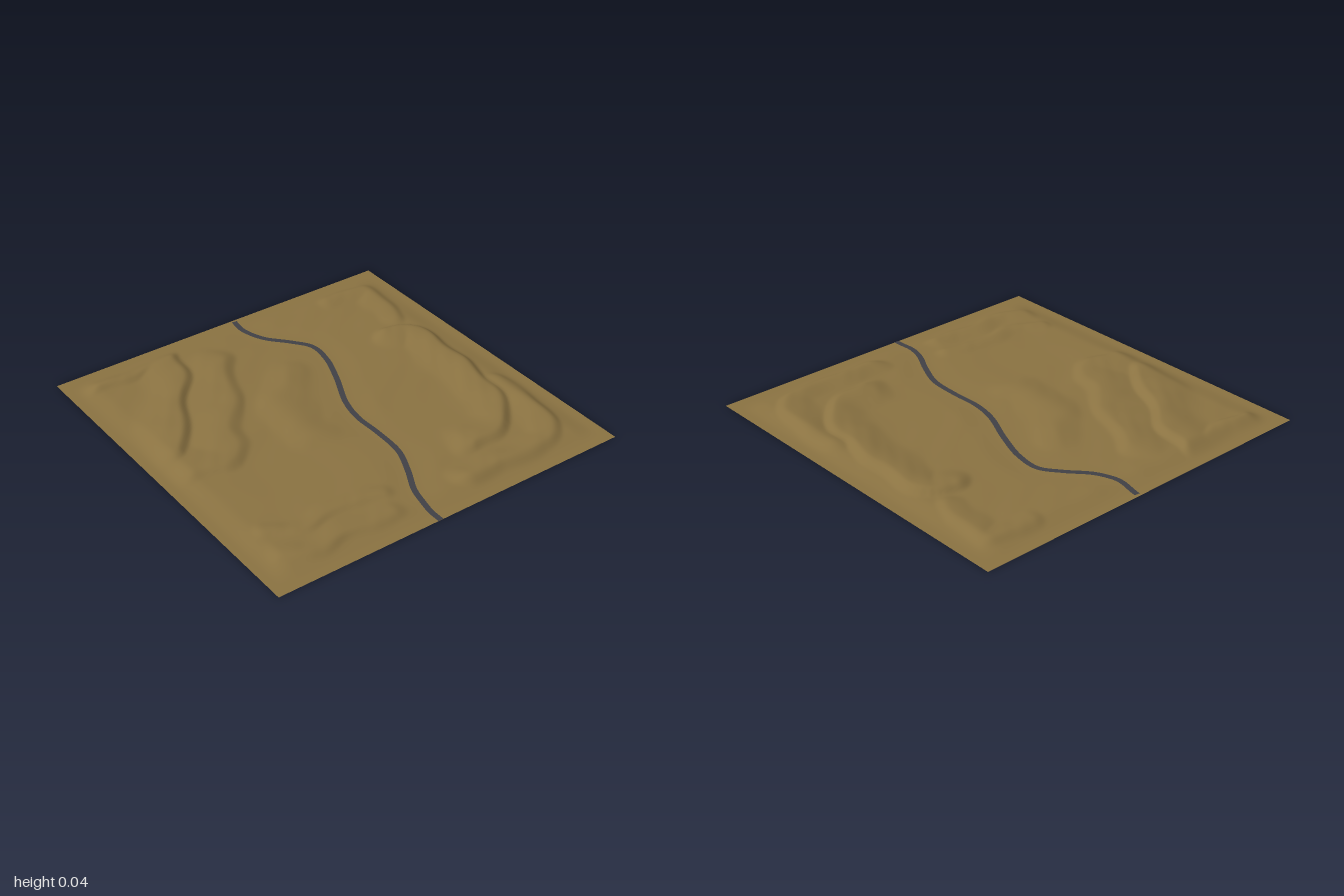
import * as THREE from 'three';

const { smoothstep, lerp } = THREE.MathUtils;

// Curve through [x, z] pairs on the ground
const groundCurve = (pts) =>
  new THREE.CatmullRomCurve3(pts.map(([x, z]) => new THREE.Vector3(x, 0, z)));

const roadCurve = groundCurve([
  [0.075, -0.985], [0.06, -0.86], [0.1, -0.74], [0.2, -0.62], [0.265, -0.52], [0.255, -0.38],
  [0.19, -0.2], [0.1, 0], [0.07, 0.14], [0.072, 0.3], [0.06, 0.48], [0, 0.63],
  [-0.07, 0.77], [-0.098, 0.9], [-0.1, 1],
]);
const roadPts = roadCurve.getPoints(90);

// Escarpments: crest line, height, width to the left and right of travel
const ridges = [
  { h: 0.042, left: 0.05, right: 0.2, pts: [[-0.4, -0.86], [-0.46, -0.66], [-0.58, -0.48], [-0.72, -0.27], [-0.8, -0.13]] },
  { h: 0.036, left: 0.07, right: 0.22, pts: [[-0.22, -0.65], [-0.36, -0.36], [-0.5, -0.15], [-0.56, 0], [-0.64, 0.07], [-0.85, 0.06]] },
  { h: 0.031, left: 0.17, right: 0.15, pts: [[-0.02, -0.35], [-0.15, -0.2], [-0.21, 0], [-0.2, 0.12]] },
  { h: 0.042, left: 0.05, right: 0.17, pts: [[0.68, -0.38], [0.78, -0.36], [0.81, -0.2], [0.79, 0.1], [0.74, 0.4], [0.62, 0.6], [0.4, 0.66]] },
  { h: 0.036, left: 0.06, right: 0.13, pts: [[0.87, 0.3], [0.86, 0.55], [0.8, 0.72], [0.7, 0.85], [0.5, 0.86], [0.2, 0.85]] },
  { h: 0.03, left: 0.12, right: 0.06, pts: [[0.8, -0.5], [0.83, -0.65], [0.86, -0.82], [0.6, -0.86]] },
  { h: 0.032, left: 0.12, right: 0.05, pts: [[-0.86, -0.84], [-0.65, -0.83], [-0.45, -0.85]] },
  { h: 0.027, left: 0.13, right: 0.05, pts: [[-0.86, 0.8], [-0.7, 0.86], [-0.5, 0.84], [-0.25, 0.87]] },
  { h: 0.026, left: 0.1, right: 0.05, pts: [[-0.8, 0.63], [-0.62, 0.69], [-0.4, 0.66], [-0.2, 0.72]] },
].map((r) => ({ ...r, line: groundCurve(r.pts).getPoints(30) }));

// Distance to a line, and on which side (-1 right, 1 left)
function nearest(line, x, z) {
  let best = Infinity, side = 0;
  for (let i = 0; i < line.length - 1; i++) {
    const a = line[i], dx = line[i + 1].x - a.x, dz = line[i + 1].z - a.z;
    const len2 = dx * dx + dz * dz;
    const t = Math.min(1, Math.max(0, ((x - a.x) * dx + (z - a.z) * dz) / len2));
    const px = x - a.x - t * dx, pz = z - a.z - t * dz, d = Math.hypot(px, pz);
    if (d < best) {
      best = d;
      side = (dz * px - dx * pz) / (Math.sqrt(len2) * (d + 1e-6));
    }
  }
  return { d: best, side };
}

// Gentle ripples from a few crossing waves
const ripple = (x, z) =>
  Math.sin(7 * x + 3 * z + Math.sin(5 * z)) * 0.5 +
  Math.sin(13 * z - 6 * x + 2 * Math.sin(4 * x)) * 0.3 +
  Math.sin(23 * x + 17 * z + 2 * Math.sin(9 * z)) * 0.2;

function heightAt(x, z) {
  const wx = x + 0.012 * Math.sin(19 * z + 4 * x), wz = z + 0.012 * Math.sin(21 * x);
  let h = 0.013 + 0.003 * ripple(x, z);
  for (const r of ridges) {
    const { d, side } = nearest(r.line, wx, wz);
    const w = lerp(r.right, r.left, 0.5 + 0.5 * side);
    const rise = r.h * (1 + 0.07 * ripple(2 * z, 2 * x)) * Math.exp(-((d / w) ** 2));
    // Smooth maximum
    h = 0.5 * (h + rise + Math.sqrt((h - rise) ** 2 + 0.00001));
  }
  // Level ground beside the road, and flat outer borders
  h = lerp(0.011, h, smoothstep(nearest(roadPts, x, z).d, 0.03, 0.16));
  return Math.min(h, 0.045) * smoothstep(1 - Math.abs(x), 0.04, 0.17) * smoothstep(1 - Math.abs(z), 0.04, 0.17);
}

function makeTerrain() {
  const geo = new THREE.PlaneGeometry(2, 2, 140, 140).rotateX(-Math.PI / 2);
  const p = geo.attributes.position;
  for (let i = 0; i < p.count; i++) p.setY(i, heightAt(p.getX(i), p.getZ(i)));
  geo.computeVertexNormals();
  const mesh = new THREE.Mesh(geo, new THREE.MeshStandardMaterial({ color: 0x8b7342, side: THREE.DoubleSide }));
  mesh.name = 'terrain';
  return mesh;
}

// Ribbon following the road curve just above the ground
function makeRoad() {
  const n = 160, half = 0.015;
  const geo = new THREE.PlaneGeometry(1, 1, 2, n);
  const p = geo.attributes.position;
  for (let i = 0; i <= n; i++) {
    const c = roadCurve.getPointAt(i / n), t = roadCurve.getTangentAt(i / n);
    for (let j = 0; j < 3; j++) {
      const s = (j - 1) * half;
      const x = c.x + t.z * s, z = Math.min(1, c.z - t.x * s);
      p.setXYZ(i * 3 + j, x, heightAt(c.x, c.z) + 0.0015, z);
    }
  }
  // Rows run toward +z with columns toward +x, so faces look up
  geo.computeVertexNormals();
  const mesh = new THREE.Mesh(geo, new THREE.MeshStandardMaterial({ color: 0x414146, side: THREE.DoubleSide }));
  mesh.name = 'road';
  return mesh;
}

export function createModel() {
  const group = new THREE.Group();
  group.name = 'landscape';
  group.add(makeTerrain(), makeRoad());
  return group;
}
